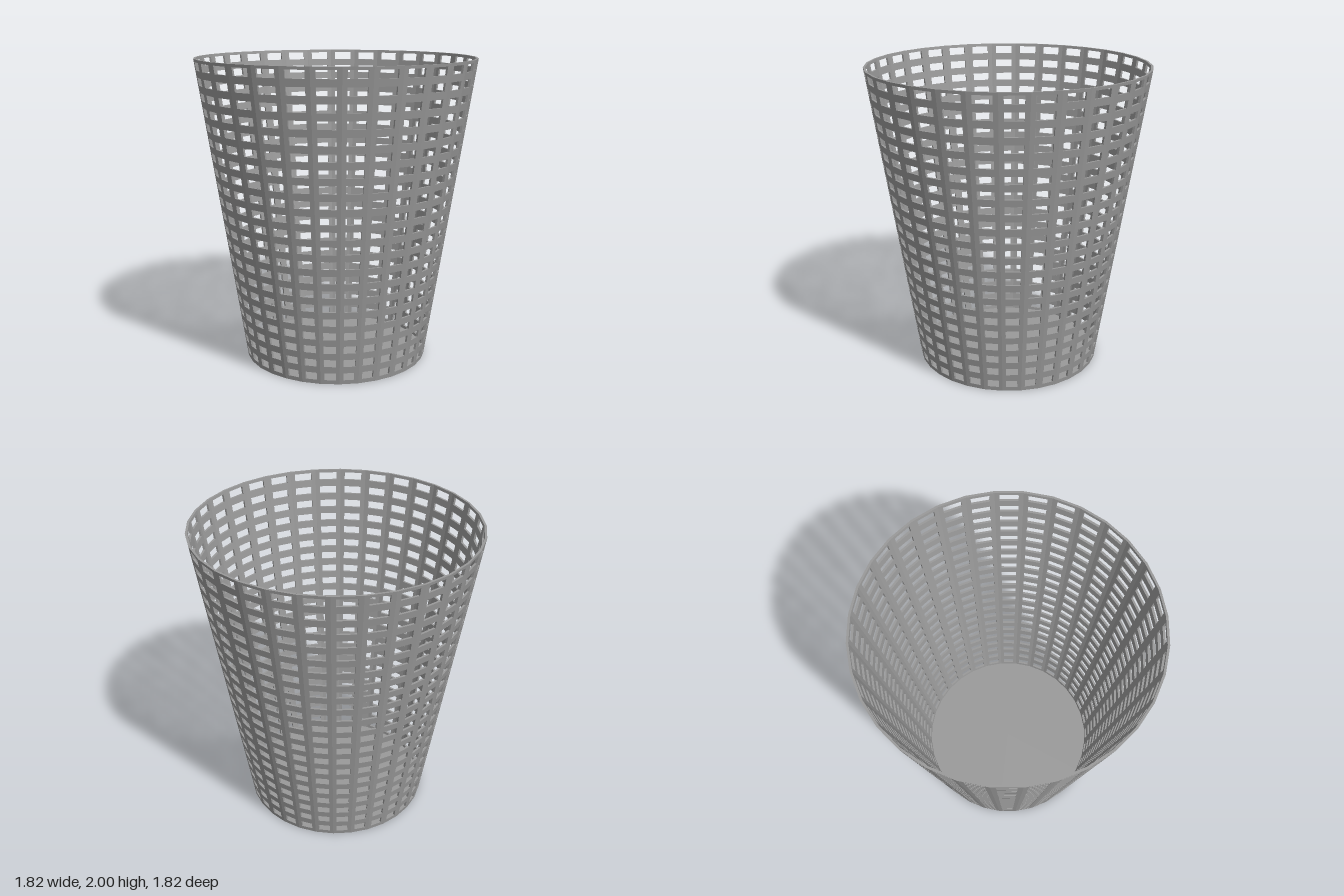
import * as THREE from 'three';

const SIDES = 32, ROWS = 21, HEIGHT = 2;
const BOTTOM_R = 0.61, TOP_R = 0.911, WALL = 0.014;
const STEP = Math.PI * 2 / SIDES;
const radiusAt = (y) => THREE.MathUtils.lerp(BOTTOM_R, TOP_R, y / HEIGHT);

// One wall facet: u runs -1..1 across the facet, y runs up it
function createPanelGeometry() {
  const shape = new THREE.Shape();
  shape.moveTo(-1, 0).lineTo(1, 0).lineTo(1, HEIGHT).lineTo(-1, HEIGHT).closePath();

  // Column of rectangular windows
  for (let i = 0; i < ROWS; i++) {
    const y = 0.053 + i * 0.0952, h = 0.025;
    const strut = THREE.MathUtils.lerp(0.023, 0.03, y / HEIGHT);
    const u = 1 - strut / (radiusAt(y) * Math.sin(STEP / 2));
    const hole = new THREE.Path();
    hole.moveTo(-u, y - h).lineTo(-u, y + h).lineTo(u, y + h).lineTo(u, y - h).closePath();
    shape.holes.push(hole);
  }
  const flat = new THREE.ExtrudeGeometry(shape, { depth: 1, bevelEnabled: false });

  // Bend onto the tapered wall, leaving out the seam faces between neighbours
  const p = flat.attributes.position, out = [];
  for (let t = 0; t < p.count; t += 3) {
    const corners = [t, t + 1, t + 2];
    if (corners.every((k) => p.getX(k) > 0.999) || corners.every((k) => p.getX(k) < -0.999)) continue;
    for (const k of corners) {
      const r = radiusAt(p.getY(k)) - (1 - p.getZ(k)) * WALL;
      out.push(p.getX(k) * r * Math.sin(STEP / 2), p.getY(k), r * Math.cos(STEP / 2));
    }
  }
  const geometry = new THREE.BufferGeometry();
  geometry.setAttribute('position', new THREE.Float32BufferAttribute(out, 3));
  geometry.computeVertexNormals();
  return geometry;
}

export function createModel() {
  const basket = new THREE.Group();
  basket.name = 'wasteBasket';
  const material = new THREE.MeshStandardMaterial({ color: 0x999999, flatShading: true });

  // Perforated wall, with a strut on every corner
  const wall = new THREE.Group();
  wall.name = 'wall';
  const panelGeometry = createPanelGeometry();
  for (let i = 0; i < SIDES; i++) {
    const panel = new THREE.Mesh(panelGeometry, material);
    panel.name = 'wallPanel';
    panel.rotation.y = (i + 0.5) * STEP;
    wall.add(panel);
  }
  basket.add(wall);

  // Solid floor
  const floorR = BOTTOM_R - WALL;
  const floor = new THREE.Mesh(new THREE.CylinderGeometry(floorR, floorR, 0.01, SIDES), material);
  floor.name = 'floor';
  floor.position.y = 0.005;
  basket.add(floor);

  return basket;
}
